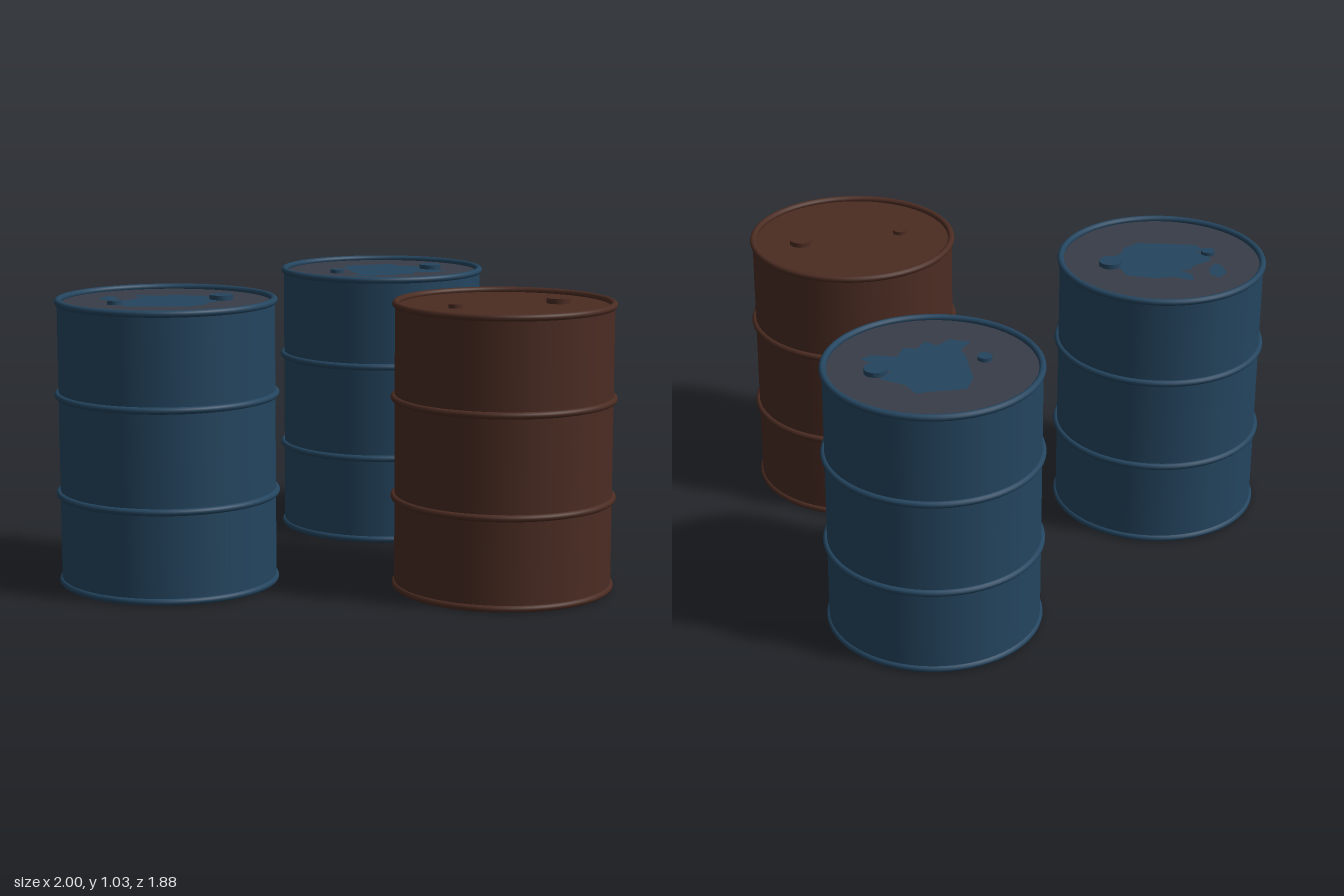
import * as THREE from 'three';

const BODY_R = 0.386, TUBE = 0.0125, HEIGHT = 1.03, LID_Y = 1.012;

function material(name, color) {
  const m = new THREE.MeshStandardMaterial({ color });
  m.name = name;
  return m;
}

function add(group, name, geometry, mat, x = 0, y = 0, z = 0) {
  const mesh = new THREE.Mesh(geometry, mat);
  mesh.name = name;
  mesh.position.set(x, y, z);
  group.add(mesh);
}

// Flat outline on the lid, given as x, z pairs in hundredths
function patchGeometry(outline) {
  const points = [];
  for (let i = 0; i < outline.length; i += 2) {
    points.push(new THREE.Vector2(outline[i] / 100, -outline[i + 1] / 100));
  }
  return new THREE.ShapeGeometry(new THREE.Shape(points)).rotateX(-Math.PI / 2);
}

function ring(radius) {
  return new THREE.TorusGeometry(radius, TUBE, 12, 72).rotateX(Math.PI / 2);
}

function makeDrum(name, paint, lidMaterial, patches) {
  const drum = new THREE.Group();
  drum.name = name;

  // Shell with closed bottom and recessed lid
  add(drum, 'shell', new THREE.CylinderGeometry(BODY_R, BODY_R, HEIGHT - 2 * TUBE, 72, 1, true), paint, 0, HEIGHT / 2);
  add(drum, 'bottom', new THREE.CircleGeometry(BODY_R, 72).rotateX(Math.PI / 2), paint, 0, TUBE);
  add(drum, 'lid', new THREE.CircleGeometry(BODY_R - 0.002, 72).rotateX(-Math.PI / 2), lidMaterial, 0, LID_Y);

  // Rolled rims and the two hoops
  for (const y of [TUBE, HEIGHT - TUBE]) add(drum, 'rim', ring(0.383), paint, 0, y);
  for (const y of [0.33, 0.685]) add(drum, 'hoop', ring(0.388), paint, 0, y);

  // Filler caps
  add(drum, 'largeCap', new THREE.CylinderGeometry(0.042, 0.042, 0.02, 32), paint, 0.18, LID_Y + 0.008, -0.09);
  add(drum, 'smallCap', new THREE.CylinderGeometry(0.026, 0.026, 0.016, 24), paint, -0.16, LID_Y + 0.006, 0.105);

  // Remaining paint on the worn lid
  for (const p of patches) add(drum, 'paintPatch', patchGeometry(p), paint, 0, LID_Y + 0.002);
  return drum;
}

export function createModel() {
  const blue = material('bluePaint', 0x24455f);
  const rust = material('rust', 0x4b2c22);
  const grey = material('wornMetal', 0x383c47);

  const backPatch = [
    0, -21, 5, -16, 15, -14, 13, -8, 19, -4, 26, -1, 23, 3, 14, 4, 14, 11, 9, 12, 8, 18,
    3, 16, 0, 22, -8, 22, -6, 15, -9, 11, -12, 4, -16, -5, -16, -13, -10, -16, -5, -18,
  ];
  const frontPatch = [
    -15, -15, -7, -14, -1, -17, 10, -17, 14, -11, 17, -6, 19, -3, 16, 2, 16, 7, 12, 13,
    2, 15, -10, 17, -14, 13, -12, 10, -17, 8, -18, 4, -13, -2, -12, -6, -9, -8, -14, -10,
  ];
  const frontIsland = [-24, -10, -20, -8, -19, -4, -20, 2, -23, 1, -26, -5];

  const model = new THREE.Group();
  model.name = 'drums';
  const frontDrum = makeDrum('frontBlueDrum', blue, grey, [frontPatch, frontIsland]);
  frontDrum.position.set(-0.6, 0, 0.54);
  const backDrum = makeDrum('backBlueDrum', blue, grey, [backPatch]);
  backDrum.position.set(0, 0, -0.54);
  const rustyDrum = makeDrum('rustyDrum', rust, rust, []);
  rustyDrum.position.set(0.595, 0, 0.43);
  model.add(frontDrum, backDrum, rustyDrum);
  return model;
}
